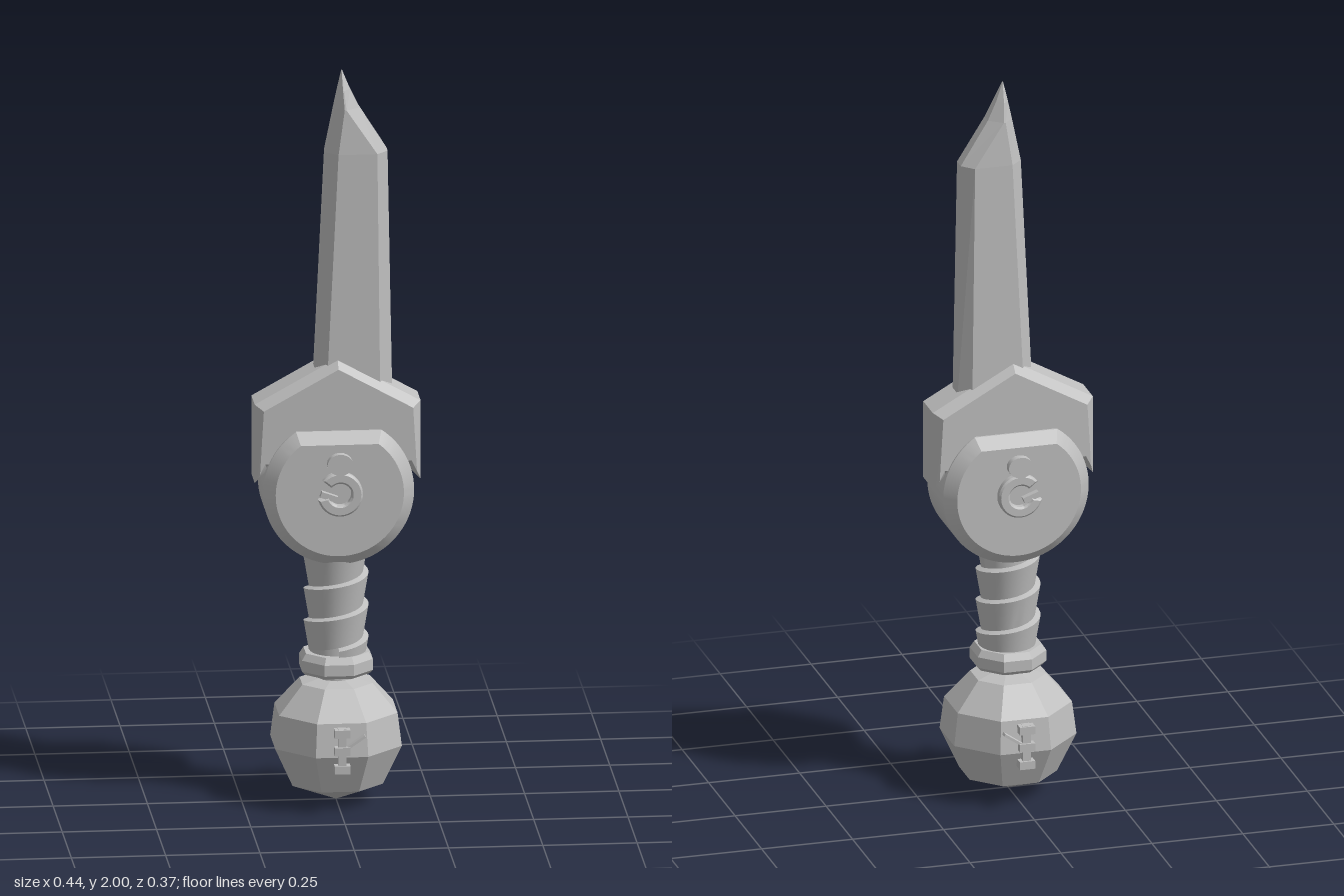
import * as THREE from 'three';
import { toCreasedNormals } from 'three/addons/utils/BufferGeometryUtils.js';

// Skin a stack of equal-length rings (counter-clockwise seen from above)
function loft(rings, closed) {
  const pos = [];
  const n = rings[0].length;
  for (let r = 0; r + 1 < rings.length; r++) {
    for (let i = 0; i < (closed ? n : n - 1); i++) {
      const j = (i + 1) % n;
      const [a, b, c, d] = [rings[r][i], rings[r][j], rings[r + 1][j], rings[r + 1][i]];
      pos.push(...a, ...b, ...c, ...a, ...c, ...d);
    }
  }
  const g = new THREE.BufferGeometry();
  g.setAttribute('position', new THREE.Float32BufferAttribute(pos, 3));
  g.computeVertexNormals();
  return g;
}

// Extrude a shape centred on z = 0, with its chamfer kept inside the outline
function slab(shape, halfDepth, size, thickness, curveSegments = 24) {
  const depth = 2 * (halfDepth - thickness);
  const g = new THREE.ExtrudeGeometry(shape, {
    depth, curveSegments, bevelEnabled: size > 0, bevelSegments: 1,
    bevelSize: size, bevelOffset: -size, bevelThickness: thickness,
  });
  g.translate(0, 0, -depth / 2);
  return toCreasedNormals(g, 0.4);
}

// Eight-sided turned part with flat facets facing the axes
function octagonal(profile) {
  const k = 1 / Math.cos(Math.PI / 8);
  const pts = profile.map(([r, y]) => new THREE.Vector2(r * k, y));
  const g = new THREE.LatheGeometry(pts, 8, Math.PI / 8).toNonIndexed();
  g.computeVertexNormals();
  return g;
}

export function createModel() {
  const model = new THREE.Group();
  model.name = 'dagger';
  const steel = new THREE.MeshStandardMaterial({ color: 0xbfbfbf, side: THREE.DoubleSide });
  steel.name = 'grey steel';
  const add = (name, geometry, x = 0, y = 0, z = 0, parent = model) => {
    const m = new THREE.Mesh(geometry, steel);
    m.name = name;
    m.position.set(x, y, z);
    parent.add(m);
    return m;
  };

  // Blade: y, left edge, left ridge, right ridge, right edge, half thickness, edge half thickness
  const sections = [
    [1.08, -0.064, -0.032, 0.113, 0.148, 0.05, 0.018],
    [1.78, -0.030, 0.002, 0.105, 0.135, 0.05, 0.018],
    [1.90, -0.006, 0.019, 0.024, 0.060, 0.044, 0.016],
    [1.95, 0.004, 0.016, 0.019, 0.036, 0.028, 0.012],
    [2.00, 0.014, 0.0145, 0.0155, 0.016, 0.003, 0.002],
  ];
  const bladeRings = sections.map(([y, a, b, c, d, t, e]) => [
    [a, y, e], [b, y, t], [c, y, t], [d, y, e],
    [d, y, -e], [c, y, -t], [b, y, -t], [a, y, -e],
  ]);
  add('blade', loft(bladeRings, true));

  // Pointed guard with chamfered edges
  const guard = new THREE.Shape([
    [0, 1.222], [-0.22, 1.1], [-0.22, 0.885], [-0.185, 0.92],
    [0.185, 0.92], [0.22, 0.885], [0.22, 1.1],
  ].map(([x, y]) => new THREE.Vector2(x, y)));
  add('guard', slab(guard, 0.07, 0.022, 0.025));

  // Round hub, cut flat across the top
  const cut = Math.asin(0.165 / 0.2);
  const hub = new THREE.Shape();
  hub.absarc(0, 0, 0.2, Math.PI - cut, 2 * Math.PI + cut, false);
  hub.closePath();
  add('hub', slab(hub, 0.105, 0.03, 0.03, 40), 0, 0.865, 0);

  // Raised ornaments on both faces of the hub and pommel
  const hook = new THREE.Shape();
  hook.absarc(0, 0, 0.06, -Math.PI * 0.93, Math.PI * 0.78, false);
  hook.absarc(0, 0, 0.03, Math.PI * 0.78, -Math.PI * 0.93, true);
  hook.closePath();
  const hookGeometry = slab(hook, 0.015, 0.005, 0.005);
  const stud = new THREE.CylinderGeometry(0.034, 0.034, 0.03, 20).rotateX(Math.PI / 2);
  for (const s of [1, -1]) {
    const ornament = new THREE.Group();
    ornament.name = s > 0 ? 'frontOrnament' : 'backOrnament';
    model.add(ornament);
    add('hookRelief', hookGeometry, 0, 0.868, s * 0.11, ornament);
    add('studRelief', stud, 0, 0.95, s * 0.11, ornament).scale.y = 0.85;
    add('hookBar', new THREE.BoxGeometry(0.045, 0.016, 0.024), -0.03, 0.862, s * 0.11, ornament)
      .rotation.z = -0.35;

    add('pommelStem', new THREE.BoxGeometry(0.022, 0.12, 0.034), 0, 0.18, s * 0.163, ornament);
    for (const y of [0.13, 0.18, 0.228]) {
      add('pommelBar', new THREE.BoxGeometry(0.042, 0.022, 0.036), 0, y, s * 0.168, ornament);
    }
    add('pommelStroke', new THREE.BoxGeometry(0.055, 0.007, 0.02), 0.038, 0.204, s * 0.17, ornament)
      .rotation.z = 0.6;
  }

  // Grip core with a spiral wrap whose upper lip stands proud
  add('gripCore', new THREE.CylinderGeometry(0.07, 0.07, 0.32, 32), 0, 0.54, 0);
  const pitch = 0.088, turns = 3.3, steps = 100;
  const wrap = [[0.072, 0], [0.086, pitch * 0.93], [0.07, pitch]].map(([r, dy]) =>
    Array.from({ length: steps + 1 }, (_, i) => {
      const a = (i / steps) * turns * Math.PI * 2;
      return [r * Math.sin(a), 0.345 + dy + (a / (Math.PI * 2)) * pitch, r * Math.cos(a)];
    }));
  add('gripWrap', toCreasedNormals(loft(wrap, false), 0.5));

  // Collar and faceted pommel
  add('collar', octagonal([[0, 0.352], [0.085, 0.352], [0.094, 0.362], [0.094, 0.392],
    [0.083, 0.41], [0, 0.41]]));
  add('neck', new THREE.CylinderGeometry(0.05, 0.05, 0.04, 16), 0, 0.345, 0);
  add('pommel', octagonal([[0, 0], [0.12, 0.052], [0.168, 0.16], [0.157, 0.25],
    [0.093, 0.326], [0, 0.348]]));

  return model;
}
